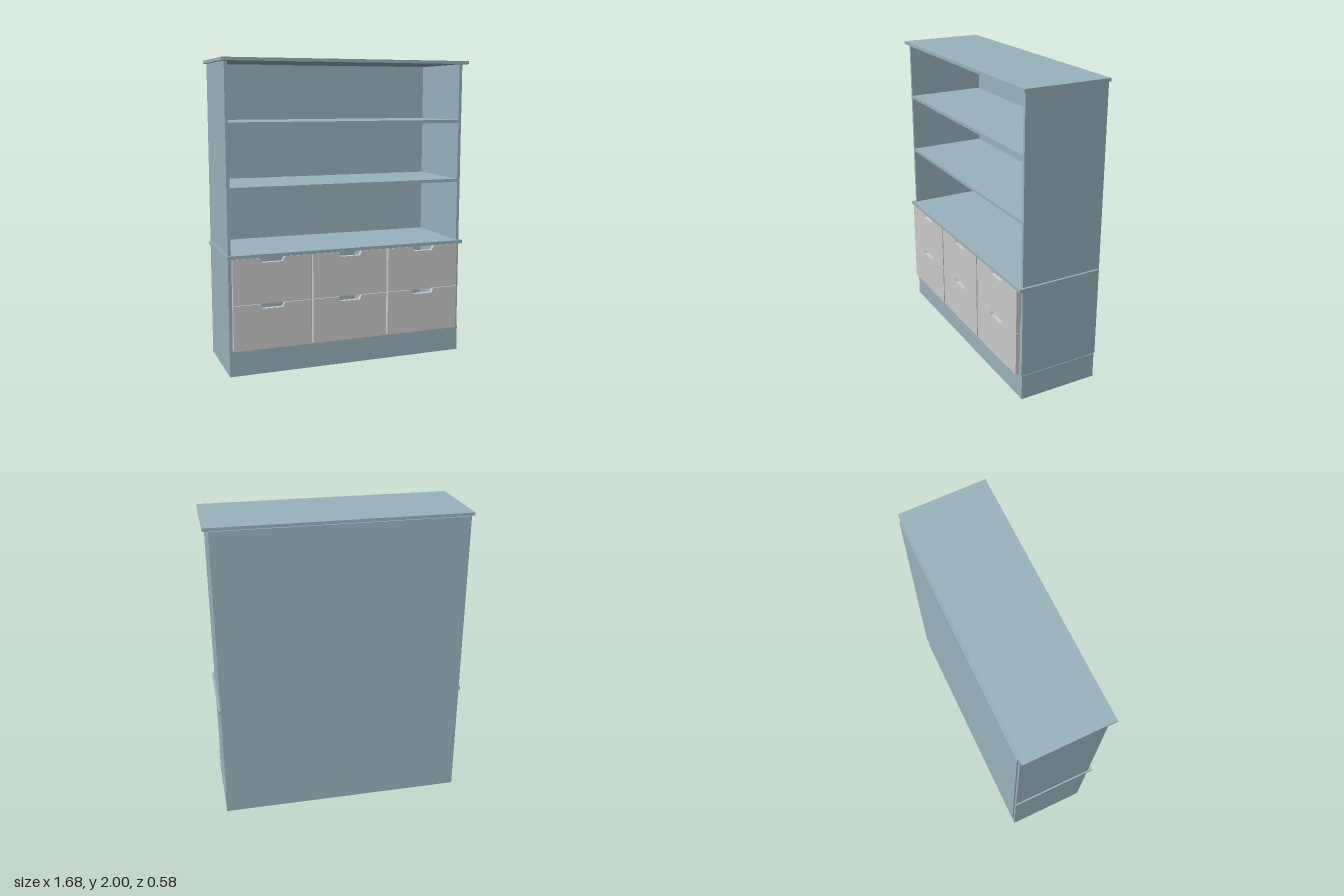
import * as THREE from 'three';

export function createModel() {
  const model = new THREE.Group();
  model.name = 'dresser';
  const painted = new THREE.MeshStandardMaterial({ color: 0x9ab3bd });
  const grey = new THREE.MeshStandardMaterial({ color: 0xcccccc });

  // Box given by its lower and upper bounds on each axis
  function board(name, [x0, x1], [y0, y1], [z0, z1]) {
    const mesh = new THREE.Mesh(new THREE.BoxGeometry(x1 - x0, y1 - y0, z1 - z0), painted);
    mesh.position.set((x0 + x1) / 2, (y0 + y1) / 2, (z0 + z1) / 2);
    mesh.name = name;
    model.add(mesh);
  }

  const depth = [-0.28, 0.262];
  const lip = [-0.28, 0.29];
  const inside = [-0.798, 0.782];

  // Plinth, worktop, top and back
  board('plinth', [-0.818, 0.806], [0, 0.17], depth);
  board('worktop', [-0.828, 0.816], [0.765, 0.787], lip);
  board('topBoard', [-0.84, 0.836], [1.98, 2], lip);
  board('backPanel', [-0.8, 0.802], [0.173, 1.98], [-0.29, -0.28]);

  // Side panels below and above the worktop
  for (const [level, y] of [['lower', [0.17, 0.765]], ['upper', [0.787, 1.98]]]) {
    board(level + 'RightSide', [-0.818, -0.798], y, depth);
    board(level + 'LeftSide', [0.782, 0.802], y, depth);
  }

  // Open shelves
  for (const y of [1.2, 1.6]) board('shelf', inside, [y - 0.01, y + 0.01], depth);

  // Dividers between the drawer columns
  for (const x of [-0.274, 0.253]) board('drawerDivider', [x - 0.006, x + 0.006], [0.17, 0.765], depth);

  // Drawer fronts with a tapered finger notch in the top edge
  const w = 0.258, h = 0.295;
  const outline = new THREE.Shape([
    [-w, 0], [w, 0], [w, h], [0.08, h], [0.067, h - 0.03], [-0.067, h - 0.03], [-0.08, h], [-w, h],
  ].map(([x, y]) => new THREE.Vector2(x, y)));
  const frontGeometry = new THREE.ExtrudeGeometry(outline, { depth: 0.028, bevelEnabled: false });
  for (const x of [-0.538, -0.01, 0.518]) {
    for (const y of [0.171, 0.469]) {
      const front = new THREE.Mesh(frontGeometry, grey);
      front.name = 'drawerFront';
      front.position.set(x, y, 0.262);
      model.add(front);
    }
  }
  return model;
}
